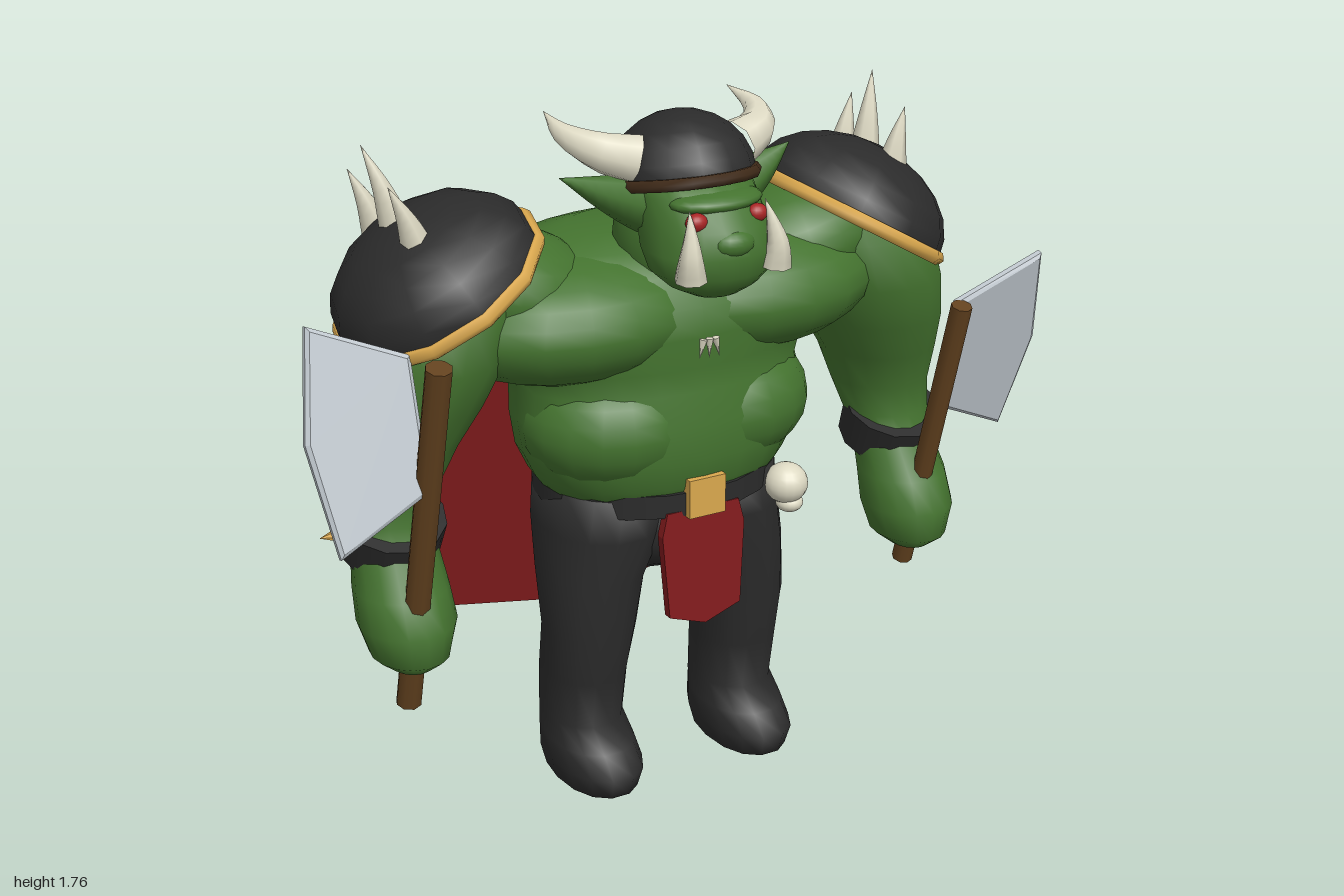
import * as THREE from 'three';

const mat = (name, color, extra = {}) => Object.assign(new THREE.MeshStandardMaterial({ color, ...extra }), { name });
const skin = mat('green skin', 0x44732f);
const dark = mat('dark leather', 0x2b2b2b, { side: THREE.DoubleSide });
const gold = mat('gold trim', 0xdaa84e);
const red = mat('red cloth', 0x821b1d);
const wood = mat('brown wood', 0x63421f);
const brim = mat('dark brown leather', 0x3f2a18);
const steel = mat('steel', 0xc0c8ce);
const bone = mat('bone', 0xdedac4);
const eyeRed = mat('eye red', 0xa82424);

// Smooth closed body from horizontal rings [x, y, z, rx, rz], listed bottom to top
function loft(rings, sides = 16, power = 2) {
  const pos = [], idx = [], n = rings.length;
  const bend = v => Math.sign(v) * Math.abs(v) ** (2 / power);
  for (const [x, y, z, rx, rz] of rings)
    for (let j = 0; j < sides; j++) {
      const a = (j / sides) * Math.PI * 2;
      pos.push(x + rx * bend(Math.cos(a)), y, z + rz * bend(Math.sin(a)));
    }
  for (let i = 0; i < n - 1; i++)
    for (let j = 0; j < sides; j++) {
      const k = (j + 1) % sides;
      const a = i * sides + j, b = i * sides + k, c = b + sides, d = a + sides;
      idx.push(a, d, c, a, c, b);
    }
  const low = n * sides, high = low + 1, top = (n - 1) * sides;
  pos.push(...rings[0].slice(0, 3), ...rings[n - 1].slice(0, 3));
  for (let j = 0; j < sides; j++) {
    const k = (j + 1) % sides;
    idx.push(low, j, k, high, top + k, top + j);
  }
  const g = new THREE.BufferGeometry();
  g.setAttribute('position', new THREE.Float32BufferAttribute(pos, 3));
  g.setIndex(idx);
  g.computeVertexNormals();
  return g;
}

// Curved tube that narrows to a point
function horn(points, r, sides = 8) {
  const curve = new THREE.CatmullRomCurve3(points.map(p => new THREE.Vector3(...p)));
  const seg = 8, g = new THREE.TubeGeometry(curve, seg, r, sides);
  const p = g.attributes.position, v = new THREE.Vector3();
  for (let i = 0; i < p.count; i++) {
    const t = Math.floor(i / (sides + 1)) / seg;
    const c = curve.getPointAt(t);
    v.fromBufferAttribute(p, i).sub(c).multiplyScalar(Math.max(0.01, 1 - t ** 1.2)).add(c);
    p.setXYZ(i, v.x, v.y, v.z);
  }
  return g;
}

const outline = pts => new THREE.Shape(pts.map(p => new THREE.Vector2(...p)));

// Thin hanging cloth leaning along z
function panel(pts, y0, z0, slope, depth) {
  const g = new THREE.ExtrudeGeometry(outline(pts), { depth, bevelEnabled: false });
  const p = g.attributes.position;
  for (let i = 0; i < p.count; i++) p.setZ(i, p.getZ(i) - depth / 2 + z0 + slope * (p.getY(i) - y0));
  g.computeVertexNormals();
  return g;
}

export function createModel() {
  const model = new THREE.Group();
  const add = (name, geo, material, pos = [0, 0, 0], parent = model) => {
    const m = new THREE.Mesh(geo, material);
    m.name = name;
    m.position.set(...pos);
    parent.add(m);
    return m;
  };
  const blob = (name, material, pos, size) => {
    const m = add(name, new THREE.SphereGeometry(1, 18, 12), material, pos);
    m.scale.set(...size);
    return m;
  };

  // Torso, neck and head
  add('torso', loft([
    [0, 0.8, 0.02, 0.29, 0.22], [0, 0.86, 0.03, 0.335, 0.24], [0, 0.93, 0.035, 0.37, 0.25],
    [0, 1.02, 0.035, 0.385, 0.25], [0, 1.1, 0.015, 0.375, 0.25], [0, 1.16, 0.005, 0.4, 0.255],
    [0, 1.24, -0.005, 0.47, 0.272], [0, 1.31, -0.01, 0.47, 0.268], [0, 1.38, -0.025, 0.44, 0.235],
    [0, 1.43, -0.035, 0.34, 0.185], [0, 1.455, -0.04, 0.2, 0.11],
  ], 24, 2.15), skin);
  blob('neck', skin, [0, 1.46, 0.1], [0.14, 0.19, 0.14]);
  add('head', loft([
    [0, 1.372, 0.31, 0.06, 0.05], [0, 1.395, 0.3, 0.11, 0.09], [0, 1.43, 0.29, 0.148, 0.125],
    [0, 1.48, 0.275, 0.158, 0.148], [0, 1.54, 0.245, 0.148, 0.165], [0, 1.6, 0.195, 0.146, 0.165],
    [0, 1.645, 0.165, 0.14, 0.145],
  ], 18, 2.1), skin);
  blob('nose', skin, [0, 1.51, 0.39], [0.055, 0.035, 0.038]);
  blob('brow', skin, [0, 1.593, 0.31], [0.12, 0.028, 0.07]);

  // Helmet with tilted brim
  const helmet = new THREE.Group();
  helmet.name = 'helmet';
  helmet.position.set(0, 1.607, 0.155);
  helmet.rotation.x = -0.21;
  model.add(helmet);
  add('helmetDome', new THREE.SphereGeometry(0.175, 14, 6, 0, Math.PI * 2, 0, Math.PI / 2), dark, [0, 0, 0], helmet)
    .scale.set(1, 0.91, 1.03);
  const band = add('helmetBrim', new THREE.TorusGeometry(0.172, 0.016, 6, 16), brim, [0, 0, 0], helmet);
  band.rotation.x = Math.PI / 2;
  band.scale.set(1, 1.04, 1);

  for (const s of [1, -1]) {
    const side = s > 0 ? 'left' : 'right';
    const mirror = pts => pts.map(([x, ...rest]) => [s * x, ...rest]);

    // Face details and helmet horns
    blob(side + 'Eye', eyeRed, [s * 0.08, 1.563, 0.362], [0.027, 0.022, 0.022]);
    add(side + 'Tusk', horn(mirror([[0.112, 1.44, 0.395], [0.115, 1.49, 0.4], [0.109, 1.54, 0.388], [0.1, 1.595, 0.365]]), 0.039), bone);
    add(side + 'Ear', horn(mirror([[0.11, 1.565, 0.18], [0.21, 1.6, 0.16], [0.31, 1.64, 0.13]]), 0.072), skin);
    add(side + 'Horn', horn(mirror([[0.13, 1.67, 0.175], [0.205, 1.69, 0.145], [0.255, 1.715, 0.06], [0.25, 1.742, -0.065]]), 0.06), bone);

    // Chest, shoulder and belly muscles, sunk deep so they flow together
    blob(side + 'Pectoral', skin, [s * 0.24, 1.275, 0.04], [0.35, 0.16, 0.25]);
    blob(side + 'Trapezius', skin, [s * 0.4, 1.36, 0], [0.25, 0.145, 0.2]).rotation.z = s * 0.25;
    blob(side + 'BellyMuscle', skin, [s * 0.15, 1, 0.07], [0.235, 0.17, 0.215]);

    // Arm down to the fist
    add(side + 'Arm', loft(mirror([
      [0.72, 0.485, 0.12, 0.05, 0.06], [0.72, 0.52, 0.11, 0.095, 0.115], [0.72, 0.6, 0.1, 0.12, 0.13],
      [0.72, 0.68, 0.07, 0.115, 0.125], [0.715, 0.76, 0.03, 0.105, 0.105], [0.71, 0.84, 0, 0.115, 0.11],
      [0.7, 0.92, -0.02, 0.13, 0.13], [0.68, 1.02, -0.01, 0.153, 0.16], [0.65, 1.12, 0, 0.185, 0.19],
      [0.61, 1.24, 0.01, 0.2, 0.22], [0.58, 1.36, 0, 0.2, 0.22], [0.55, 1.46, 0, 0.13, 0.15],
    ])), skin);
    const bracer = add(side + 'Bracer', new THREE.CylinderGeometry(0.13, 0.122, 0.108, 12), dark, [s * 0.715, 0.792, 0.012]);
    bracer.rotation.x = 0.38;
    const stud = add(side + 'BracerStud', new THREE.ConeGeometry(0.026, 0.07, 6), gold, [s * 0.86, 0.812, 0.01]);
    stud.rotation.z = -s * Math.PI / 2;

    // Shoulder armour
    const pad = new THREE.Group();
    pad.name = side + 'ShoulderArmour';
    pad.position.set(s * 0.565, 1.385, 0);
    pad.rotation.z = -s * 0.53;
    model.add(pad);
    add('shoulderDome', new THREE.SphereGeometry(0.268, 12, 6, 0, Math.PI * 2, 0, Math.PI / 2), dark, [0, 0, 0], pad)
      .scale.y = 0.71;
    add('shoulderRim', new THREE.TorusGeometry(0.262, 0.02, 6, 12), gold, [0, 0, 0], pad).rotation.x = Math.PI / 2;
    for (const [z, y, tipZ, tipY] of [[0.08, 1.5, 0.05, 1.655], [-0.04, 1.51, -0.1, 1.715], [-0.15, 1.47, -0.19, 1.635]])
      add(side + 'ShoulderSpike', horn(mirror([
        [0.64, y, z], [0.665, (y + tipY) / 2, z * 0.65 + tipZ * 0.35], [0.7, tipY, tipZ],
      ]), 0.042, 7), bone);

    // Leg with rounded boot
    add(side + 'Leg', loft(mirror([
      [0.22, 0.005, 0.08, 0.06, 0.1], [0.22, 0.035, 0.085, 0.098, 0.165], [0.22, 0.09, 0.085, 0.112, 0.182],
      [0.22, 0.14, 0.06, 0.107, 0.155], [0.22, 0.19, 0.03, 0.1, 0.12], [0.22, 0.32, 0.045, 0.105, 0.125],
      [0.215, 0.45, 0.07, 0.115, 0.122], [0.2, 0.6, 0.05, 0.13, 0.155], [0.165, 0.72, 0.025, 0.155, 0.195],
      [0.15, 0.83, 0.02, 0.16, 0.2],
    ]), 14, 2.2), dark);

    // Axe: handle leaning forward, with a flared blade that leans back on the right one
    const axe = new THREE.Group();
    axe.name = side + 'Axe';
    axe.position.set(s * 0.723, s > 0 ? 0.81 : 0.85, s > 0 ? 0.195 : 0.225);
    axe.rotation.x = 0.26;
    model.add(axe);
    const r = s > 0 ? 0.027 : 0.032;
    add('axeHandle', new THREE.CylinderGeometry(r, r, s > 0 ? 0.81 : 0.99, 8), wood, [0, 0, 0], axe);
    const blade = outline(mirror([[0, 0.155], [0.235, 0.26], [0.277, 0], [0.235, -0.27], [0, -0.16]]));
    add('axeBlade', new THREE.ExtrudeGeometry(blade, {
      depth: 0.014, bevelThickness: 0.007, bevelSize: 0.01, bevelOffset: -0.01, bevelSegments: 1,
    }), steel, s > 0 ? [0, 0.245, -0.035] : [0, 0.292, -0.08], axe).rotation.x = s > 0 ? 0 : -0.54;
  }

  // Pelvis, belt and buckle
  blob('pelvis', dark, [0, 0.72, 0.02], [0.28, 0.16, 0.19]);
  add('belt', new THREE.CylinderGeometry(1, 1, 0.06, 20), dark, [0, 0.817, 0.015]).scale.set(0.315, 1, 0.262);
  add('buckle', new THREE.BoxGeometry(0.1, 0.1, 0.03), gold, [0, 0.835, 0.275]);

  // Hanging cloths and cape
  const flap = bottom => [[-0.1, 0.8], [-0.115, 0.74], [-0.1, bottom + 0.035], [0, bottom], [0.1, bottom + 0.035], [0.115, 0.74], [0.1, 0.8]];
  add('frontLoincloth', panel(flap(0.49), 0.49, 0.272, -0.05, 0.025), red);
  add('backLoincloth', panel(flap(0.52), 0.52, -0.24, 0.17, 0.025), red);
  add('cape', panel([[-0.415, 1.37], [-0.53, 0.355], [0, 0.25], [0.53, 0.355], [0.415, 1.37]], 0.25, -0.424, 0.186, 0.02), red);

  // Trophy skull on the belt
  blob('skull', bone, [0.27, 0.785, 0.215], [0.056, 0.052, 0.056]);
  blob('skullJaw', bone, [0.275, 0.735, 0.225], [0.035, 0.025, 0.035]);

  // Small tooth charm on the chest
  for (const x of [-0.022, 0, 0.022]) {
    const tooth = add('chestTooth', new THREE.ConeGeometry(0.01, 0.05, 6), bone, [x, 1.22, 0.29]);
    tooth.rotation.z = Math.PI + x * 10;
  }
  return model;
}
